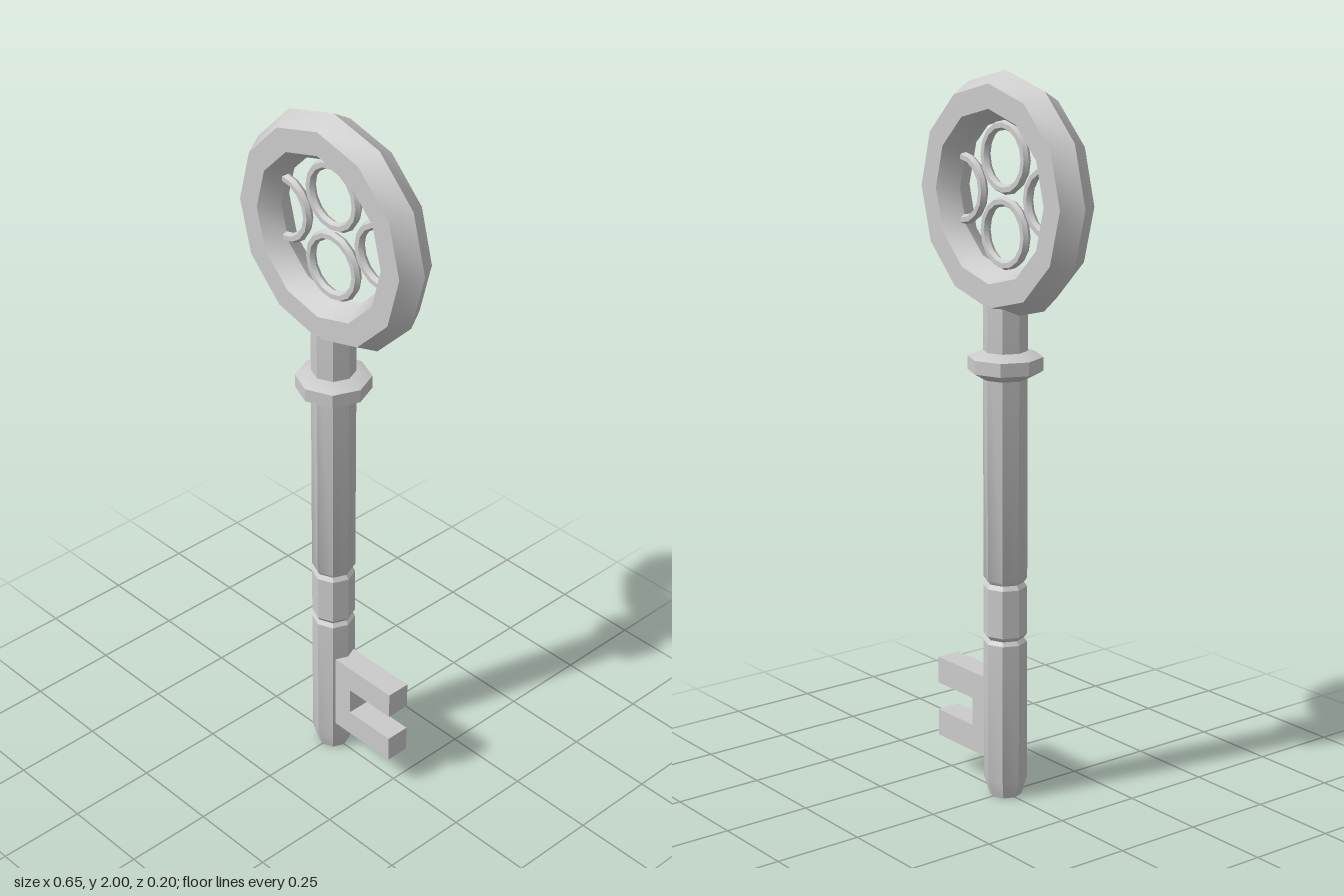
import * as THREE from 'three';
import { toCreasedNormals } from 'three/addons/utils/BufferGeometryUtils.js';

const material = new THREE.MeshStandardMaterial({ color: 0xcccccc });
const BOW_Y = 1.673;

function addPart(group, name, geometry, x = 0, y = 0, z = 0) {
  const mesh = new THREE.Mesh(toCreasedNormals(geometry, 0.6), material);
  mesh.name = name;
  mesh.position.set(x, y, z);
  group.add(mesh);
  return mesh;
}

// Eight-sided turned part from [radius, height] pairs, bottom to top
function turned(pairs) {
  return new THREE.LatheGeometry(pairs.map(([r, y]) => new THREE.Vector2(r, y)), 8);
}

export function createModel() {
  const key = new THREE.Group();
  key.name = 'key';

  // Shaft with tapered tip and two grooves
  addPart(key, 'shaft', turned([
    [0, 0], [0.045, 0], [0.06, 0.05],
    [0.06, 0.447], [0.051, 0.458], [0.06, 0.47],
    [0.06, 0.605], [0.051, 0.617], [0.06, 0.63],
    [0.06, 1.39], [0, 1.39],
  ]));

  // Bevelled collar
  addPart(key, 'collar', turned([
    [0.055, 1.185], [0.062, 1.185], [0.102, 1.207], [0.102, 1.244], [0.062, 1.26], [0.055, 1.26],
  ]));

  // Two-toothed bit
  const outline = new THREE.Shape([
    [0.03, 0.1], [0.263, 0.1], [0.263, 0.177], [0.105, 0.177],
    [0.105, 0.257], [0.263, 0.257], [0.263, 0.334], [0.03, 0.334],
  ].map(([x, y]) => new THREE.Vector2(x, y)));
  addPart(key, 'bit', new THREE.ExtrudeGeometry(outline, { depth: 0.07, bevelEnabled: false }), 0, 0, -0.035);

  // Bow: hexagonal section swept round twelve sides
  addPart(key, 'bow', new THREE.TorusGeometry(0.262, 0.065, 6, 12), 0, BOW_Y, 0);

  // Tracery: full rings above and below, half rings at the sides
  const R = 0.085, tube = 0.0135;
  for (const s of [1, -1]) {
    addPart(key, 'traceryRing', new THREE.TorusGeometry(R, tube, 6, 16), 0, BOW_Y + s * 0.1, 0);

    const half = new THREE.Group();
    half.name = 'traceryHalfRing';
    half.position.set(s * 0.18, BOW_Y, 0);
    half.rotation.z = s * Math.PI / 2;
    addPart(half, 'arc', new THREE.TorusGeometry(R, tube, 6, 8, Math.PI));
    // End caps face the bow
    for (const e of [1, -1]) {
      addPart(half, 'arcEnd', new THREE.CircleGeometry(tube, 6), e * R).rotation.x = Math.PI / 2;
    }
    key.add(half);
  }

  return key;
}
